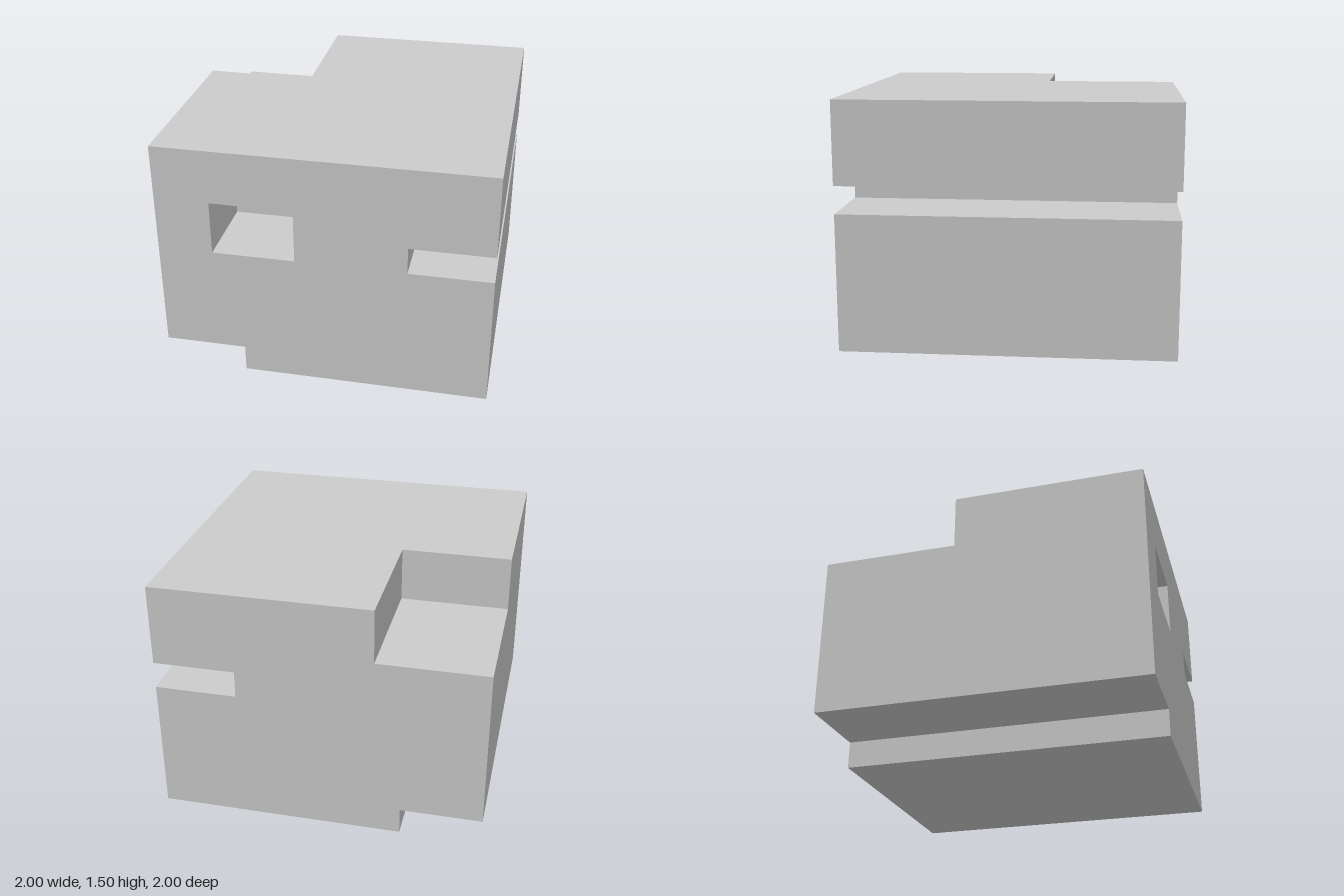
import * as THREE from 'three';
import { mergeGeometries } from 'three/addons/utils/BufferGeometryUtils.js';

const T = 1 / 6; // the block is laid out in sixths
const toPoints = (list) => list.map(([x, y]) => new THREE.Vector2(x * T, y * T));
const rect = (x0, y0, x1, y1) => toPoints([[x0, y0], [x1, y0], [x1, y1], [x0, y1]]);

// Outlines in x/y, counter-clockwise: bottom step, then side slot, then top
const lower = [[-6, 1], [-3, 1], [-3, 0], [6, 0], [6, 5], [3, 5], [3, 6], [6, 6], [6, 9]];
const mainOutline = toPoints([...lower, [-6, 9]]);
const backOutline = toPoints([...lower, [-2, 9], [-2, 7], [-6, 7]]);
const pocket = rect(-4, 5, -1, 7);
const cornerCut = rect(-6, 7, -2, 9);

// Flat face at depth z, facing +z
function frontFace(points, z, hole) {
  const shape = new THREE.Shape(points);
  if (hole) shape.holes.push(new THREE.Path(hole));
  return new THREE.ShapeGeometry(shape).toNonIndexed().translate(0, 0, z * T);
}

// Flat face at depth z, facing -z
function rearFace(points, z) {
  const mirrored = points.map((p) => new THREE.Vector2(-p.x, p.y));
  return frontFace(mirrored, 0).rotateY(Math.PI).translate(0, 0, z * T);
}

// Walls following a closed outline between two depths
function walls(points, z0, z1) {
  const pos = [];
  points.forEach((a, i) => {
    const b = points[(i + 1) % points.length];
    const [n, f] = [z0 * T, z1 * T];
    pos.push(a.x, a.y, n, b.x, b.y, n, b.x, b.y, f);
    pos.push(a.x, a.y, n, b.x, b.y, f, a.x, a.y, f);
  });
  return new THREE.BufferGeometry().setAttribute('position', new THREE.Float32BufferAttribute(pos, 3));
}

export function createModel() {
  const parts = [
    // Outer skin, with the rear section cut at its top corner
    walls(mainOutline, -1, 6),
    walls(backOutline, -6, -1),
    frontFace(mainOutline, 6, pocket),
    rearFace(backOutline, -6),
    rearFace(cornerCut, -1),
    // Blind rectangular pocket in the front
    walls([...pocket].reverse(), 3, 6),
    frontFace(pocket, 3),
  ];
  for (const g of parts) {
    g.deleteAttribute('uv');
    g.computeVertexNormals();
  }

  const block = new THREE.Mesh(
    mergeGeometries(parts),
    new THREE.MeshStandardMaterial({ color: 0xcccccc, flatShading: true })
  );
  block.name = 'notchedBlock';

  const group = new THREE.Group();
  group.name = 'machinedBlock';
  group.add(block);
  return group;
}
